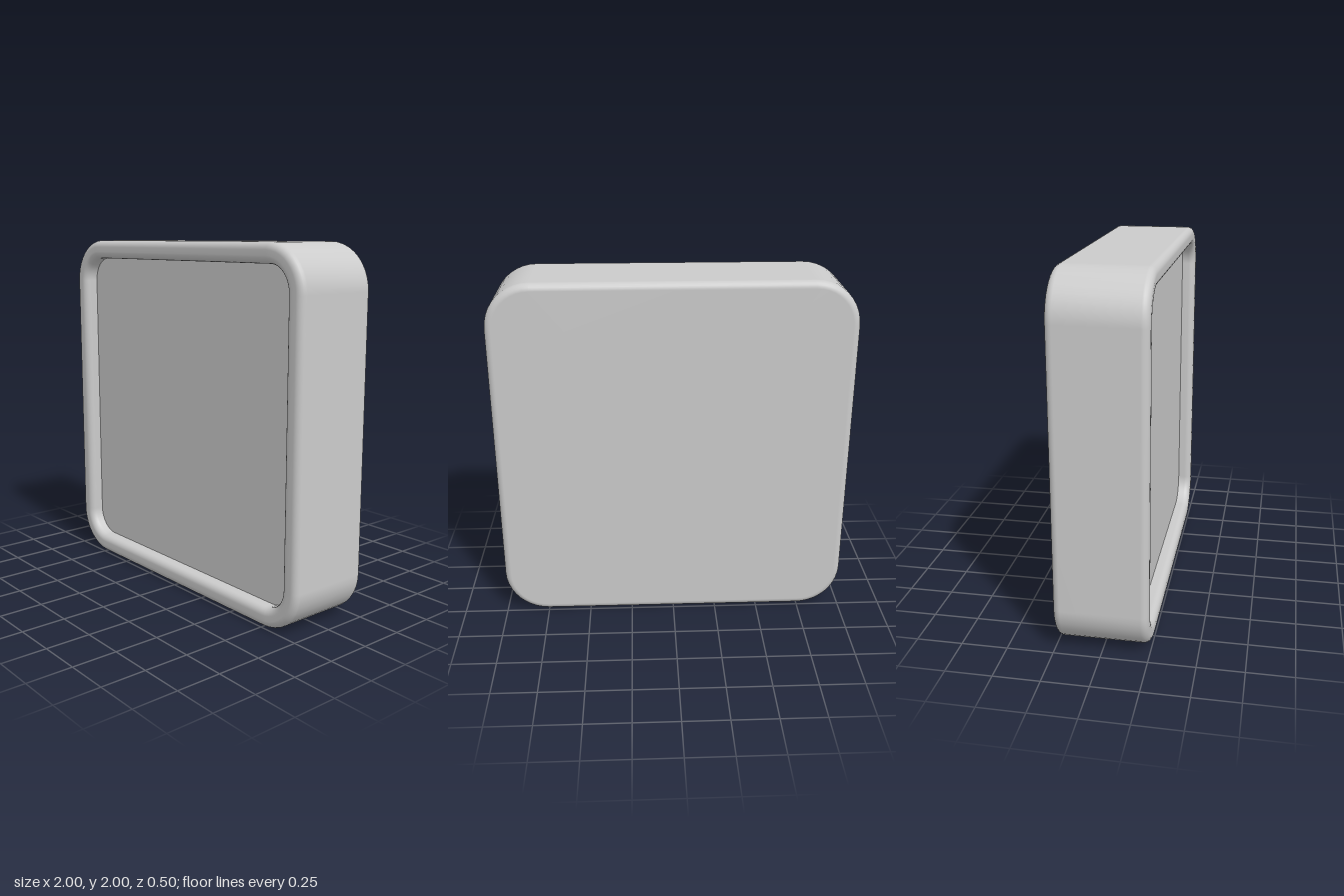
import * as THREE from 'three';

const CORNER = 0.25, STEPS = 10, BEVEL = 0.04, DEPTH = 0.25, RIM = 0.108, PANEL_Z = 0.17;

// Rounded square, inset from the 2 x 2 outline, counter-clockwise from the front
function ring(inset) {
  const r = Math.max(CORNER - inset, 0), c = 1 - inset - r, points = [];
  for (let q = 0; q < 4; q++) {
    const sx = q === 0 || q === 3 ? 1 : -1, sy = q < 2 ? 1 : -1;
    for (let i = 0; i <= STEPS; i++) {
      const a = (q + i / STEPS) * Math.PI / 2;
      points.push([sx * c + r * Math.cos(a), sy * c + r * Math.sin(a) + 1]);
    }
  }
  return points;
}

// Sweeps a profile of [inset, z] pairs around the rounded square
function sweep(profile) {
  const positions = [], index = [], n = 4 * (STEPS + 1);
  for (const [inset, z] of profile)
    for (const [x, y] of ring(inset)) positions.push(x, y, z);
  for (let i = 0; i < profile.length - 1; i++)
    for (let j = 0; j < n; j++) {
      const a = i * n + j, b = i * n + (j + 1) % n;
      index.push(a, b, b + n, a, b + n, a + n);
    }
  const geometry = new THREE.BufferGeometry();
  geometry.setAttribute('position', new THREE.Float32BufferAttribute(positions, 3));
  geometry.setIndex(index);
  geometry.computeVertexNormals();
  return geometry;
}

// Quarter-round bevel in the [inset, z] plane
function bevel(inset, z, from) {
  return Array.from({ length: 7 }, (_, i) => {
    const a = from + (i / 6) * Math.PI / 2;
    return [inset - BEVEL * Math.cos(a), z + BEVEL * Math.sin(a)];
  });
}

export function createModel() {
  const group = new THREE.Group();
  const material = new THREE.MeshStandardMaterial({ color: 0xcccccc });
  const add = (name, geometry) => {
    const mesh = new THREE.Mesh(geometry, material);
    mesh.name = name;
    group.add(mesh);
  };

  // Closed back, bevelled sides and a raised front rim
  add('casing', sweep([
    [1, -DEPTH],
    ...bevel(BEVEL, -DEPTH + BEVEL, -Math.PI / 2),
    ...bevel(BEVEL, DEPTH - BEVEL, 0),
    ...bevel(RIM - BEVEL, DEPTH - BEVEL, Math.PI / 2),
    [RIM, PANEL_Z],
  ]));

  // Flat panel at the bottom of the recess
  const outline = new THREE.Shape(ring(RIM).map(([x, y]) => new THREE.Vector2(x, y)));
  const panel = new THREE.ShapeGeometry(outline);
  panel.translate(0, 0, PANEL_Z);
  add('frontPanel', panel);

  return group;
}
